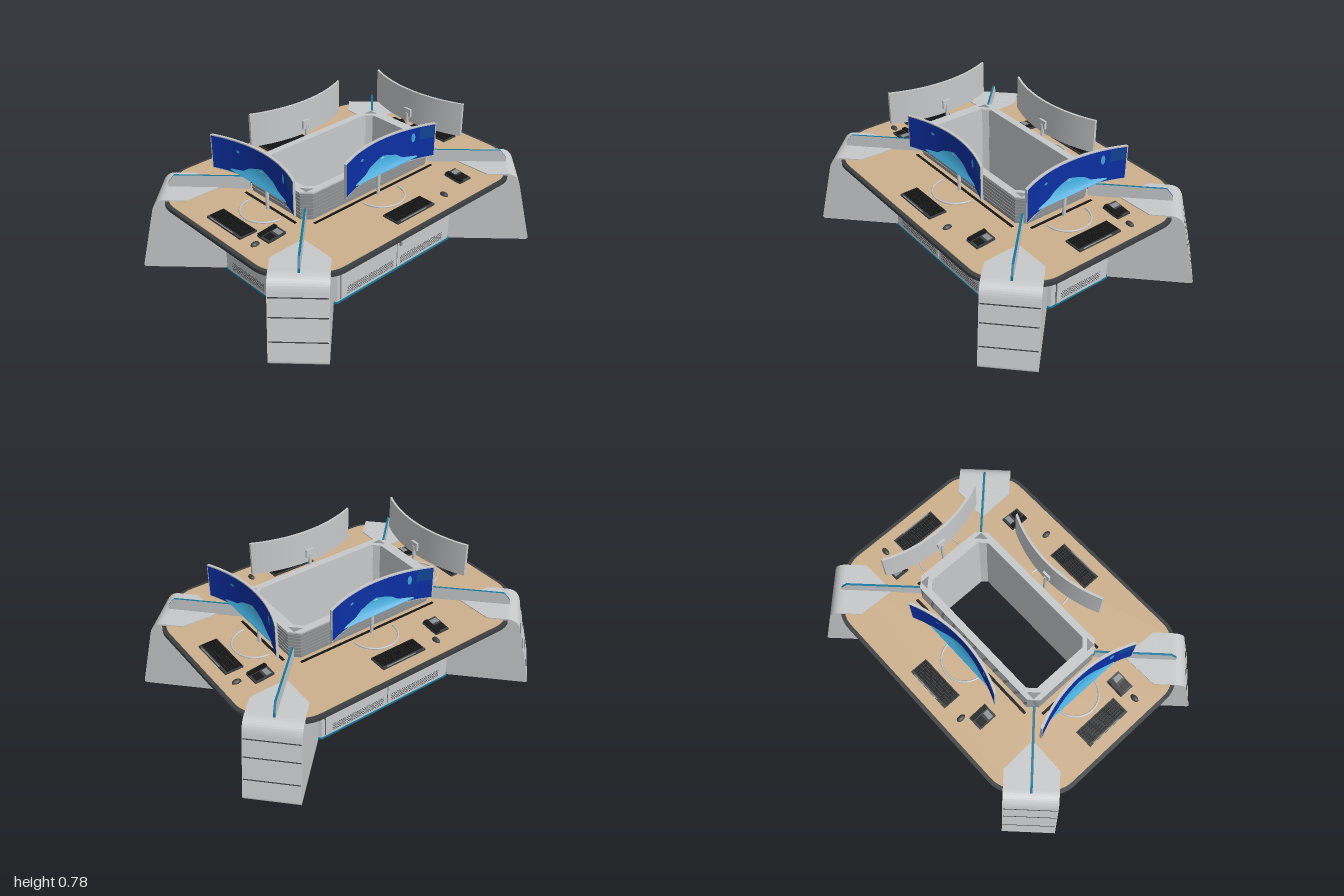
import * as THREE from 'three';
import { mergeGeometries } from 'three/addons/utils/BufferGeometryUtils.js';

const mat = (name, color, side = THREE.FrontSide) => {
  const m = new THREE.MeshStandardMaterial({ color, side });
  m.name = name;
  return m;
};

export function createModel() {
  const model = new THREE.Group();
  model.name = 'controlRoomDesk';
  const M = {
    light: mat('lightGrey', 0xc6c8ca), mid: mat('midGrey', 0x8e9193), wood: mat('wood', 0xcdb08c),
    charcoal: mat('charcoal', 0x3c3f42), black: mat('black', 0x161616), teal: mat('teal', 0x12789c),
    blue: mat('screenBlue', 0x0c30a4), deep: mat('screenSteelBlue', 0x104596),
    cyan: mat('screenCyan', 0x3fa6d6), white: mat('screenWhite', 0xd4e8ee),
  };
  const add = (parent, name, geo, m, x = 0, y = 0, z = 0) => {
    const mesh = new THREE.Mesh(geo, m);
    mesh.name = name;
    mesh.position.set(x, y, z);
    parent.add(mesh);
    return mesh;
  };
  const box = (parent, name, w, h, d, m, x, y, z) => add(parent, name, new THREE.BoxGeometry(w, h, d), m, x, y, z);

  // Octagon outline: half sizes X and Z, corner cut c, corner rounding r
  const octagon = (X, Z, c, r = 0, Type = THREE.Shape) => {
    const p = [[X, -Z + c], [X, Z - c], [X - c, Z], [-X + c, Z], [-X, Z - c], [-X, -Z + c], [-X + c, -Z], [X - c, -Z]]
      .map(a => new THREE.Vector2(...a));
    const s = new Type();
    p.forEach((q, i) => {
      const toward = o => q.clone().add(o.clone().sub(q).setLength(r));
      const a = r ? toward(p[(i + 7) % 8]) : q;
      i ? s.lineTo(a.x, a.y) : s.moveTo(a.x, a.y);
      if (r) {
        const b = toward(p[(i + 1) % 8]);
        s.quadraticCurveTo(q.x, q.y, b.x, b.y);
      }
    });
    s.closePath();
    return s;
  };
  // Flat slab from a plan outline with an optional hole, between two heights
  const slab = (name, shape, hole, y0, y1, m, parent = model) => {
    if (hole) shape.holes.push(hole);
    const g = new THREE.ExtrudeGeometry(shape, { depth: y1 - y0, bevelEnabled: false, curveSegments: 8 });
    g.rotateX(-Math.PI / 2);
    return add(parent, name, g, m, 0, y0, 0);
  };
  const hole = (X, Z, c) => octagon(X, Z, c, 0, THREE.Path);

  // Base ring, worktop and central well
  slab('cabinetBase', octagon(0.68, 0.44, 0.24), hole(0.43, 0.212, 0.03), 0, 0.41, M.light);
  slab('baseTrim', octagon(0.684, 0.444, 0.24), hole(0.6, 0.38, 0.2), 0.003, 0.014, M.teal);
  slab('worktopEdge', octagon(0.91, 0.67, 0.25, 0.07), hole(0.44, 0.22, 0.03), 0.408, 0.428, M.charcoal);
  slab('worktop', octagon(0.888, 0.648, 0.237, 0.065), hole(0.46, 0.23, 0.03), 0.426, 0.432, M.wood);
  slab('wellLining', octagon(0.46, 0.236, 0.04), hole(0.425, 0.21, 0.03), 0.4, 0.592, M.light);
  slab('wellWall', octagon(0.474, 0.244, 0.045), hole(0.455, 0.232, 0.04), 0.43, 0.588, M.mid);
  slab('wellRim', octagon(0.48, 0.25, 0.05), hole(0.42, 0.208, 0.04), 0.588, 0.597, M.light);
  for (let i = 0; i < 7; i++) {
    const y = 0.447 + i * 0.02;
    slab('wallSlat', octagon(0.478, 0.248, 0.047), hole(0.46, 0.236, 0.04), y, y + 0.012, M.mid);
  }
  for (const x of [-1, 1]) for (const z of [-1, 1]) {
    const cap = new THREE.Shape([[0, 0], [-0.06, 0], [0, -0.06]].map(a => new THREE.Vector2(a[0] * x, a[1] * z)));
    const g = new THREE.ShapeGeometry(cap).rotateX(-Math.PI / 2);
    const m = add(model, 'rimCorner', g, M.mid, x * 0.453, 0.598, -z * 0.223);
    m.scale.set(0.9, 1, 0.9);
  }

  // Corner pylons: x runs outward along the diagonal
  const side = new THREE.Shape();
  side.moveTo(0.55, 0);
  side.lineTo(1.08, 0);
  side.quadraticCurveTo(1.096, 0, 1.092, 0.02);
  side.lineTo(1.012, 0.36);
  side.quadraticCurveTo(0.997, 0.437, 0.93, 0.437);
  side.lineTo(0.82, 0.437);
  side.lineTo(0.82, 0.41);
  side.lineTo(0.55, 0.41);
  const finShape = new THREE.Shape([[0.49, 0.43], [0.944, 0.43], [0.944, 0.462], [0.908, 0.508], [0.49, 0.508]]
    .map(a => new THREE.Vector2(...a)));
  const extrudeMid = (shape, depth) =>
    new THREE.ExtrudeGeometry(shape, { depth, bevelEnabled: false, curveSegments: 10 }).translate(0, 0, -depth / 2);
  for (const sx of [-1, 1]) for (const sz of [-1, 1]) {
    const leg = new THREE.Group();
    leg.name = 'cornerPylon';
    leg.position.set(0.12 * sx, 0, -0.12 * sz);
    leg.rotation.y = Math.atan2(-sz, sx);
    model.add(leg);
    add(leg, 'pylonBody', extrudeMid(side, 0.3), M.light);
    const nose = new THREE.Shape([[0.66, 0], [0.82, -0.15], [0.83, -0.15], [0.83, 0.15], [0.82, 0.15]]
      .map(a => new THREE.Vector2(...a)));
    slab('pylonNose', nose, null, 0.42, 0.4365, M.light, leg);
    add(leg, 'dividerFin', extrudeMid(finShape, 0.012), [M.light, M.teal]);
    for (const y of [0.118, 0.243, 0.343]) {
      const seam = box(leg, 'pylonSeam', 0.004, 0.006, 0.29, M.charcoal, 1.0955 - y * 0.2353, y, 0);
      seam.rotation.z = 0.231;
    }
  }

  // Curved monitors: bend a flat geometry around the viewer
  const R = 0.785;
  const bend = (g, off = 0) => {
    const p = g.attributes.position;
    for (let i = 0; i < p.count; i++) p.setZ(i, p.getZ(i) + off + R - Math.sqrt(R * R - p.getX(i) ** 2));
    g.computeVertexNormals();
    return g;
  };
  const graph = new THREE.Shape([[-0.23, 0.597], [0.235, 0.597], [0.23, 0.606], [0.14, 0.62], [0.1, 0.648], [0.05, 0.664],
    [0, 0.678], [-0.04, 0.666], [-0.1, 0.645], [-0.14, 0.617], [-0.22, 0.606]].map(a => new THREE.Vector2(...a)));
  const monitor = st => {
    const g = new THREE.Group();
    g.name = 'curvedMonitor';
    g.position.z = 0.308;
    st.add(g);
    add(g, 'monitorShell', bend(new THREE.BoxGeometry(0.67, 0.2, 0.014, 24, 1, 1)), M.light, 0, 0.68, 0);
    add(g, 'screen', bend(new THREE.PlaneGeometry(0.658, 0.188, 24, 1), 0.0085), M.blue, 0, 0.68, 0);
    add(g, 'screenCorner', bend(new THREE.PlaneGeometry(0.08, 0.07, 6, 1).translate(0.285, 0.735, 0), 0.0095), M.deep);
    add(g, 'screenBand', bend(new THREE.PlaneGeometry(0.46, 0.012, 16, 1).translate(0, 0.592, 0), 0.0095), M.deep);
    add(g, 'screenGraph', bend(new THREE.ShapeGeometry(graph), 0.0105), M.cyan);
    for (const [x, y, w, h] of [[-0.17, 0.72, 0.012, 0.008], [0.205, 0.72, 0.012, 0.028]])
      add(g, 'screenMark', bend(new THREE.CircleGeometry(1, 10).scale(w, h, 1).translate(x, y, 0), 0.0105), M.cyan);
    add(g, 'screenDot', bend(new THREE.CircleGeometry(0.018, 12).translate(0, 0.652, 0), 0.0125), M.white);
    // Stand
    add(g, 'standPole', new THREE.CylinderGeometry(0.01, 0.01, 0.21, 12), M.light, 0, 0.535, -0.016);
    box(g, 'standBracket', 0.05, 0.05, 0.016, M.light, 0, 0.64, -0.012);
    const foot = add(g, 'standFoot', new THREE.TorusGeometry(0.13, 0.006, 6, 24, Math.PI), M.light, 0, 0.436, 0.005);
    foot.rotation.x = Math.PI / 2;
  };

  const keyboard = (st, z) => {
    const g = new THREE.Group();
    g.name = 'keyboard';
    g.position.set(-0.005, 0.432, z);
    st.add(g);
    box(g, 'keyboardBody', 0.28, 0.01, 0.108, M.charcoal, 0, 0.005, 0);
    const keys = [];
    for (let r = 0; r < 6; r++) for (let c = 0; c < 17; c++)
      keys.push(new THREE.BoxGeometry(0.0125, 0.005, 0.0115).translate(-0.128 + c * 0.016, 0.0125, -0.042 + r * 0.015));
    add(g, 'keys', mergeGeometries(keys), M.black);
    box(g, 'keyboardTrim', 0.19, 0.003, 0.006, M.mid, -0.02, 0.0105, 0.051);
  };

  const vent = (st, x0, x1) => {
    const holes = [];
    for (let r = 0; r < 6; r++)
      for (let x = x0 + (r % 2) * 0.006; x < x1; x += 0.012)
        holes.push(new THREE.CircleGeometry(0.0036, 6).translate(x, 0.042 + r * 0.0085, 0));
    add(st, 'ventHoles', mergeGeometries(holes), M.charcoal, 0, 0, 0.4485);
  };

  // Four workstations: turn, outward shift, phone position, mouse position, long side or short side
  const stations = [
    [0, 0, 0.445, 0.475, 0.25, 0.545, true], [Math.PI, 0, 0.31, 0.46, 0.235, 0.55, true],
    [Math.PI / 2, 0.24, 0.24, 0.435, 0.215, 0.56, false], [-Math.PI / 2, 0.24, 0.215, 0.44, 0.22, 0.55, false],
  ];
  for (const [turn, shift, px, pz, mx, mz, long] of stations) {
    const pivot = new THREE.Group();
    pivot.name = 'workstation';
    pivot.rotation.y = turn;
    model.add(pivot);
    const st = new THREE.Group();
    st.name = 'stationParts';
    st.position.z = shift;
    pivot.add(st);
    monitor(st);
    keyboard(st, 0.525);
    // Mouse
    const mouse = add(st, 'mouse', new THREE.SphereGeometry(1, 12, 8), M.charcoal, mx, 0.434, mz);
    mouse.scale.set(0.016, 0.015, 0.027);
    // Desk phone
    const phone = new THREE.Group();
    phone.name = 'deskPhone';
    phone.position.set(px, 0.438, pz);
    phone.rotation.x = 0.1;
    st.add(phone);
    box(phone, 'phoneBody', 0.088, 0.014, 0.115, M.charcoal, 0, 0.003, 0);
    box(phone, 'phoneHandset', 0.024, 0.012, 0.108, M.black, -0.03, 0.014, 0);
    box(phone, 'phoneDisplay', 0.048, 0.003, 0.03, M.mid, 0.014, 0.011, -0.03);
    box(phone, 'phoneKeys', 0.048, 0.003, 0.045, M.black, 0.014, 0.011, 0.022);
    // Cable slot and under-desk tray
    box(st, 'cableSlot', long ? 0.9 : 0.42, 0.004, 0.016, M.black, 0, 0.432, 0.276);
    const w = long ? 0.53 : 0.31;
    box(st, 'deskSupport', 2 * w, 0.034, 0.16, M.light, 0, 0.392, 0.52);
    for (const x of long ? [-0.21, 0.21] : [-0.15, 0.15])
      box(st, 'supportSeam', 0.003, 0.034, 0.002, M.mid, x, 0.392, 0.6);
    // Cabinet doors
    if (long) {
      box(st, 'doorGap', 0.84, 0.345, 0.003, M.charcoal, 0, 0.195, 0.4405);
      for (const s of [-1, 1]) {
        box(st, 'door', 0.415, 0.345, 0.008, M.light, s * 0.2105, 0.195, 0.444);
        vent(st, s > 0 ? 0.028 : -0.372, s > 0 ? 0.374 : -0.026);
      }
      box(st, 'doorHandle', 0.014, 0.06, 0.008, M.mid, 0.025, 0.19, 0.452);
    } else {
      box(st, 'doorGap', 0.336, 0.34, 0.003, M.charcoal, 0, 0.187, 0.4405);
      box(st, 'sidePanel', 0.33, 0.334, 0.008, M.light, 0, 0.187, 0.444);
      vent(st, -0.135, 0.135);
    }
  }
  return model;
}
